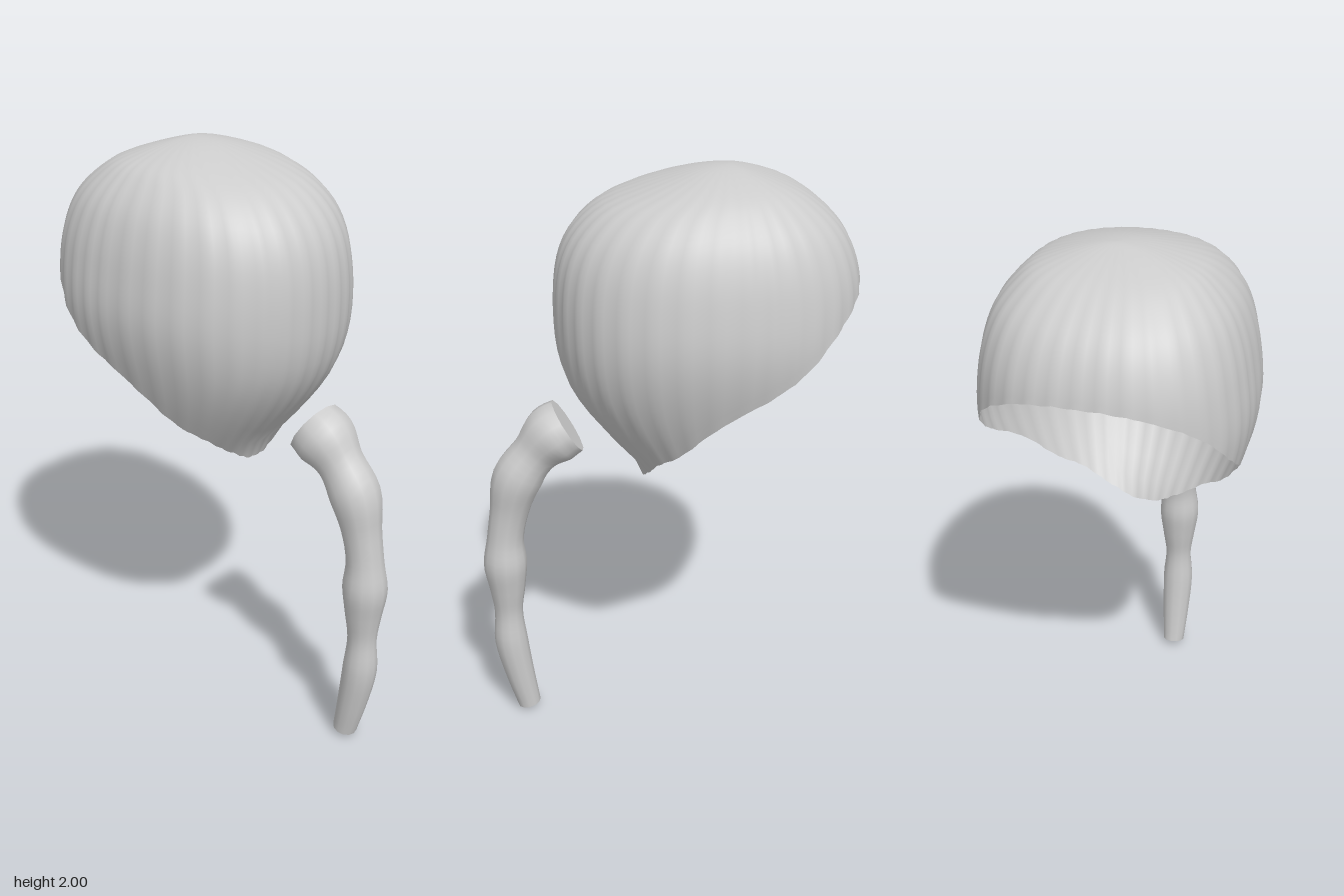
import * as THREE from 'three';

const CROWN_Z = -0.21;

// Smooth lookup through rows of [key, ...values]
function table(rows) {
  const size = rows[0].length - 1;
  const curve = new THREE.CubicInterpolant(rows.map(r => r[0]), rows.flatMap(r => r.slice(1)), size);
  const lo = rows[0][0], hi = rows[rows.length - 1][0];
  return k => Array.from(curve.evaluate(Math.min(hi, Math.max(lo, k))));
}

// Joins closed loops, listed from top to bottom, into one smooth surface
function loft(loops) {
  const n = loops[0].length, index = [];
  for (let j = 0; j < loops.length - 1; j++) {
    for (let i = 0; i < n; i++) {
      const k = (i + 1) % n;
      const a = j * n + i, b = a + n, d = j * n + k, c = d + n;
      index.push(a, b, d, b, c, d);
    }
  }
  const g = new THREE.BufferGeometry();
  g.setAttribute('position', new THREE.Float32BufferAttribute(loops.flat(2), 3));
  g.setIndex(index);
  g.computeVertexNormals();
  return g;
}

// Height, half width, front z, back z of the cap
const capProfile = table([
  [2.0, 0, -0.21, -0.21], [1.99, 0.09, -0.11, -0.27], [1.97, 0.17, -0.03, -0.34],
  [1.94, 0.25, 0.07, -0.42], [1.9, 0.3, 0.18, -0.485], [1.83, 0.355, 0.27, -0.56],
  [1.75, 0.388, 0.32, -0.605], [1.65, 0.41, 0.345, -0.63], [1.5, 0.423, 0.35, -0.63],
  [1.4, 0.41, 0.34, -0.63], [1.3, 0.382, 0.31, -0.63], [1.2, 0.345, 0.25, -0.63],
  [1.1, 0.3, 0.17, -0.63], [1.0, 0.25, 0.088, -0.63], [0.95, 0.22, 0.07, -0.63],
].map(([y, ...v]) => [Math.sqrt(2 - y), ...v]));

// Rim height along z
const rimHeight = table([
  [-0.63, 1.66], [-0.5, 1.54], [-0.4, 1.44], [-0.3, 1.365], [-0.2, 1.305],
  [-0.1, 1.225], [0, 1.11], [0.05, 1.05], [0.07, 0.95],
]);

// Point on the cap at angle a; s is the square root of the drop from the crown
function capPoint(a, s) {
  const [w, front, back] = capProfile(s);
  const sn = Math.sin(a), cs = Math.cos(a);
  const n = 2.35 - 0.15 * cs;
  const r = Math.pow(Math.abs(sn) ** n + Math.abs(cs) ** n, -1 / n) * (1 + 0.006 * Math.cos(36 * a));
  const depth = cs > 0 ? front - CROWN_Z : CROWN_Z - back;
  return [w * sn * r, 2 - s * s, CROWN_Z + depth * cs * r];
}

function makeCap() {
  const columns = 144, rows = 32, sMax = Math.sqrt(1.05);
  const loops = Array.from({ length: rows + 1 }, () => []);
  for (let i = 0; i < columns; i++) {
    const a = i / columns * Math.PI * 2;
    // Walk down until the rim is met
    let end = 0.3;
    while (end < sMax) {
      const p = capPoint(a, end);
      if (p[1] <= rimHeight(p[2])[0]) break;
      end += 0.002;
    }
    end = Math.min(end, sMax);
    for (let j = 0; j <= rows; j++) loops[j].push(capPoint(a, end * j / rows));
  }
  return loft(loops);
}

// Centre z, centre y and radius down the ponytail
const TAIL = [
  [0.32, 1.135, 0.1], [0.375, 1.102, 0.105], [0.435, 1.04, 0.08], [0.497, 0.95, 0.087],
  [0.53, 0.83, 0.068], [0.55, 0.72, 0.064], [0.555, 0.62, 0.076], [0.553, 0.52, 0.063],
  [0.553, 0.42, 0.05], [0.55, 0.3, 0.059], [0.525, 0.15, 0.052], [0.497, 0.02, 0.042],
];

function makeTail() {
  const sides = 12, steps = 44;
  const path = new THREE.CatmullRomCurve3(TAIL.map(([z, y]) => new THREE.Vector3(0, y, z)));
  const radius = table(TAIL.map((p, i) => [i / (TAIL.length - 1), p[2]]));
  const ring = (t, scale, slide = 0) => {
    const c = path.getPoint(t), d = path.getTangent(t), r = radius(t)[0] * scale;
    c.addScaledVector(d, slide);
    return Array.from({ length: sides }, (_, i) => {
      const a = i / sides * Math.PI * 2, f = Math.cos(a) * r;
      return [Math.sin(a) * r, c.y + d.z * f, c.z - d.y * f];
    });
  };
  const loops = [ring(0, 0), ring(0, 1)];
  for (let j = 0; j <= steps; j++) loops.push(ring(j / steps, 1));
  loops.push(ring(1, 1), ring(1, 0, 0.02));
  return loft(loops);
}

export function createModel() {
  const hair = new THREE.MeshStandardMaterial({ color: 0xcccccc, side: THREE.DoubleSide });
  hair.name = 'light grey';

  const cap = new THREE.Mesh(makeCap(), hair);
  cap.name = 'hairCap';
  const tail = new THREE.Mesh(makeTail(), hair);
  tail.name = 'ponytail';

  const group = new THREE.Group();
  group.name = 'hair';
  group.add(cap, tail);
  return group;
}
